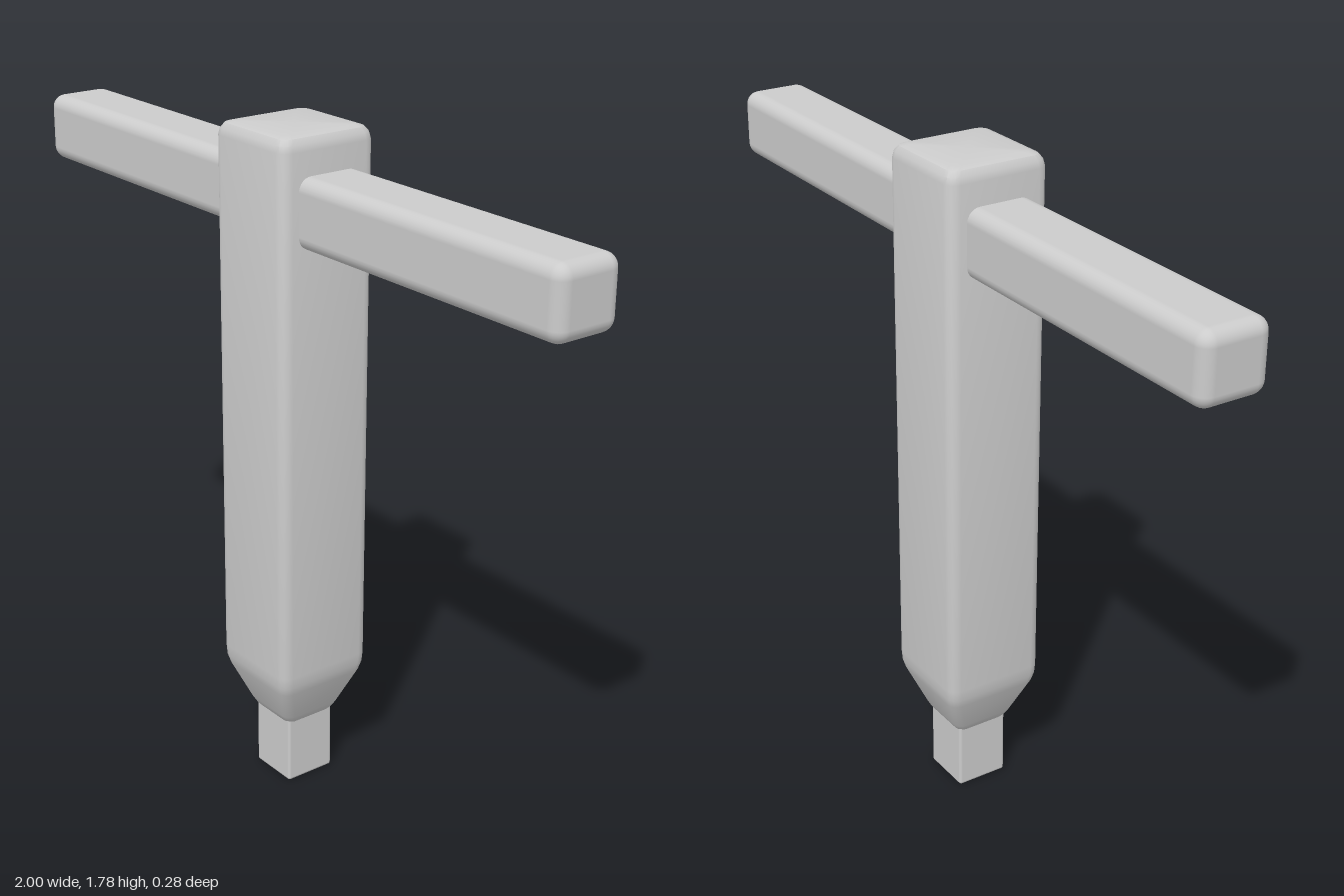
import * as THREE from 'three';
import { toCreasedNormals } from 'three/addons/utils/BufferGeometryUtils.js';
import { RoundedBoxGeometry } from 'three/addons/geometries/RoundedBoxGeometry.js';

const SEG = 4; // segments per rounded corner

// Stacks rounded-square rings [y, half width, corner radius], bottom to top, with capped ends
function loftSquare(rings) {
  const pos = [], idx = [], n = 4 * (SEG + 1);
  for (const [y, h, r] of rings) {
    for (let c = 0; c < 4; c++) {
      const cx = (c === 0 || c === 3 ? 1 : -1) * (h - r);
      const cz = (c < 2 ? 1 : -1) * (h - r);
      for (let s = 0; s <= SEG; s++) {
        const a = (c + s / SEG) * Math.PI / 2;
        pos.push(cx + r * Math.cos(a), y, cz + r * Math.sin(a));
      }
    }
  }
  for (let k = 0; k < rings.length - 1; k++) {
    for (let i = 0; i < n; i++) {
      const a = k * n + i, b = k * n + (i + 1) % n;
      idx.push(a, a + n, b, b, a + n, b + n);
    }
  }
  const bottom = pos.length / 3, top = bottom + 1, last = (rings.length - 1) * n;
  pos.push(0, rings[0][0], 0, 0, rings[rings.length - 1][0], 0);
  for (let i = 0; i < n; i++) {
    const j = (i + 1) % n;
    idx.push(bottom, i, j, top, last + j, last + i);
  }
  const g = new THREE.BufferGeometry();
  g.setAttribute('position', new THREE.Float32BufferAttribute(pos, 3));
  g.setIndex(idx);
  return toCreasedNormals(g, 0.6);
}

export function createModel() {
  const group = new THREE.Group();
  const material = new THREE.MeshStandardMaterial({ color: 0xcccccc });
  const add = (name, geometry, y) => {
    const mesh = new THREE.Mesh(geometry, material);
    mesh.name = name;
    mesh.position.y = y;
    group.add(mesh);
  };

  // Square shaft with tapered foot and softened top edge
  add('shaft', loftSquare([
    [0.18, 0.072, 0.02], [0.19, 0.08, 0.022], [0.205, 0.088, 0.024],
    [0.305, 0.13, 0.028], [0.33, 0.137, 0.03], [0.36, 0.139, 0.03],
    [1.745, 0.139, 0.03], [1.762, 0.135, 0.028], [1.775, 0.125, 0.024], [1.78, 0.108, 0.02],
  ]), 0);

  // Square drive tip
  add('driveTip', new RoundedBoxGeometry(0.144, 0.24, 0.144, 2, 0.008), 0.12);

  // Cross bar through the top of the shaft
  add('crossBar', new RoundedBoxGeometry(2, 0.177, 0.184, 4, 0.035), 1.596);

  return group;
}
